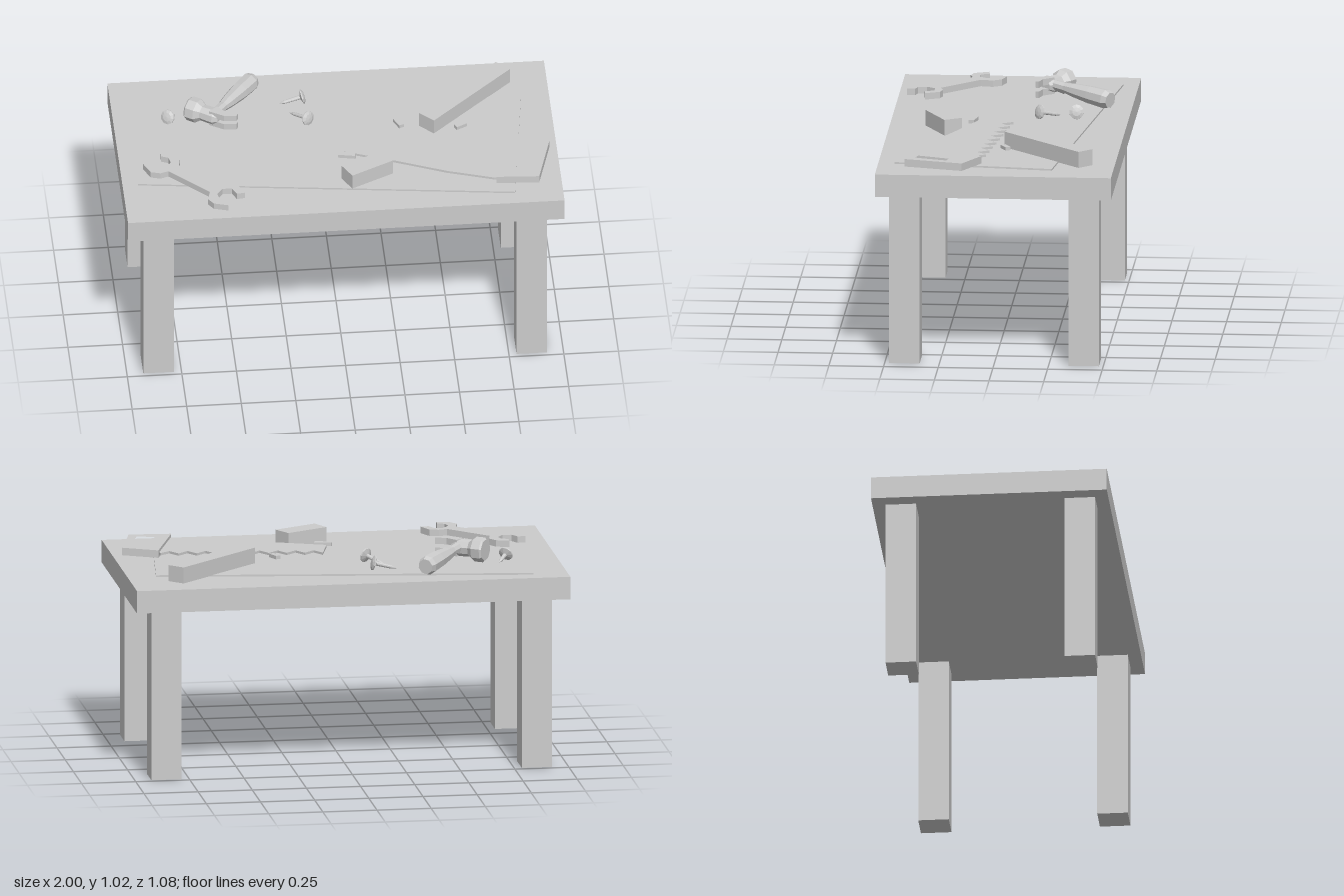
import * as THREE from 'three';

const material = new THREE.MeshStandardMaterial({ color: 0xcccccc, flatShading: true });

function add(parent, name, geometry) {
  const mesh = new THREE.Mesh(geometry, material);
  mesh.name = name;
  parent.add(mesh);
  return mesh;
}

function box(parent, name, size, pos, turn = 0) {
  const mesh = add(parent, name, new THREE.BoxGeometry(...size));
  mesh.position.set(...pos);
  mesh.rotation.y = turn;
  return mesh;
}

// Flat part: plan outline in [x, z], raised from y0 to y1
function slab(parent, name, outline, y0, y1, hole) {
  const toPlane = (pts) => pts.map(([x, z]) => new THREE.Vector2(x, -z));
  const shape = new THREE.Shape(toPlane(outline));
  if (hole) shape.holes.push(new THREE.Path(toPlane(hole)));
  const geo = new THREE.ExtrudeGeometry(shape, { depth: y1 - y0, bevelEnabled: false });
  geo.rotateX(-Math.PI / 2);
  geo.translate(0, y0, 0);
  return add(parent, name, geo);
}

// Turned part: profile of [radius, distance] laid along the line from a to b
function turned(parent, name, profile, sides, a, b) {
  const geo = new THREE.LatheGeometry(profile.map(([r, d]) => new THREE.Vector2(r, d)), sides);
  geo.rotateY(Math.PI / sides);
  const mesh = add(parent, name, geo);
  const from = new THREE.Vector3(...a);
  const dir = new THREE.Vector3(...b).sub(from).normalize();
  mesh.position.copy(from);
  mesh.quaternion.setFromUnitVectors(new THREE.Vector3(0, 1, 0), dir);
  return mesh;
}

function group(parent, name) {
  const g = new THREE.Group();
  g.name = name;
  parent.add(g);
  return g;
}

function buildTable(root) {
  const table = group(root, 'table');
  box(table, 'tableTop', [2, 0.105, 1.08], [0, 0.8475, 0]);
  for (const x of [-1, 1]) for (const z of [-1, 1])
    box(table, 'leg', [0.14, 0.797, 0.14], [x * 0.855, 0.3985, z * 0.41]);
  slab(table, 'mat', [[-0.84, -0.47], [0.87, -0.26], [0.78, 0.465], [-0.93, 0.255]], 0.899, 0.908);
}

function buildSaw(root) {
  const saw = group(root, 'saw');
  // Toothed edge: tip, then valley, repeated towards the handle
  const teeth = [];
  const count = 9;
  for (let i = 0; i < count; i++) {
    const x = 0.065 + (i * 0.735) / count;
    const z = -0.03 + (i * 0.09) / count;
    teeth.push([x, z], [x + 0.035, z + 0.055]);
  }
  const back = [[0.8, 0.07], [0.82, 0.2], [0.75, 0.39], [0.69, 0.385], [0.48, 0.315],
    [0.25, 0.215], [0.15, 0.175], [0.025, 0.125]];
  slab(saw, 'blade', [...teeth, ...back], 0.925, 0.936);
  slab(saw, 'sawHandle', [[0.81, 0.065], [0.965, 0.145], [0.895, 0.412], [0.7, 0.4]], 0.915, 0.95,
    [[0.83, 0.2], [0.91, 0.22], [0.865, 0.365], [0.785, 0.345]]);
}

function buildWrench(root) {
  slab(root, 'wrench', [
    [-0.81, 0.06], [-0.75, 0.08], [-0.725, 0.12], [-0.735, 0.175],
    [-0.565, 0.345], [-0.525, 0.333], [-0.483, 0.345], [-0.452, 0.41],
    [-0.49, 0.415], [-0.51, 0.372], [-0.553, 0.372], [-0.58, 0.41], [-0.57, 0.452],
    [-0.537, 0.462], [-0.537, 0.5], [-0.602, 0.48], [-0.625, 0.445], [-0.612, 0.39],
    [-0.787, 0.215], [-0.825, 0.228], [-0.868, 0.215], [-0.898, 0.147],
    [-0.86, 0.143], [-0.838, 0.182], [-0.795, 0.182], [-0.77, 0.147], [-0.778, 0.112],
    [-0.81, 0.098],
  ], 0.912, 0.942);
}

function buildHammer(root) {
  const hammer = group(root, 'hammer');
  // Octagonal striking face tapering to the neck
  turned(hammer, 'hammerHead',
    [[0, 0], [0.05, 0], [0.057, 0.008], [0.057, 0.05], [0.038, 0.075], [0.04, 0.14], [0.025, 0.165], [0, 0.165]],
    8, [-0.655, 0.968, -0.23], [-0.505, 0.968, -0.126]);
  // Two claw prongs, one above the other
  const prong = [[-0.57, -0.14], [-0.53, -0.175], [-0.49, -0.125], [-0.44, -0.11], [-0.448, -0.094], [-0.505, -0.1]];
  slab(hammer, 'upperClaw', prong, 0.977, 1.007);
  slab(hammer, 'lowerClaw', prong, 0.93, 0.96);
  // Grip thickening towards its end
  turned(hammer, 'hammerHandle',
    [[0, 0], [0.024, 0], [0.024, 0.08], [0.032, 0.13], [0.042, 0.23], [0.045, 0.32], [0.036, 0.345], [0, 0.345]],
    8, [-0.545, 0.973, -0.163], [-0.345, 0.948, -0.445]);
}

function buildNails(root) {
  const nails = [
    [[-0.755, 0.943, -0.2], [-0.715, 0.913, -0.255]],
    [[-0.125, 0.943, -0.305], [-0.24, 0.911, -0.298]],
    [[-0.115, 0.943, -0.135], [-0.195, 0.911, -0.23]],
  ];
  for (const [head, tip] of nails) {
    const length = new THREE.Vector3(...head).distanceTo(new THREE.Vector3(...tip));
    turned(root, 'nail',
      [[0, -0.008], [0.02, -0.006], [0.034, 0], [0.034, 0.006], [0.01, 0.014], [0.008, length * 0.75], [0, length]],
      10, head, tip);
  }
}

function buildWood(root) {
  slab(root, 'plank', [[0.77, -0.44], [0.83, -0.38], [0.45, -0.015], [0.387, -0.08]], 0.906, 0.981);
  slab(root, 'woodBlock', [[0, 0.295], [0.19, 0.197], [0.237, 0.275], [0.042, 0.375]], 0.906, 0.981);
  // Loose offcuts: x, z, length, turn
  for (const [x, z, length, turn] of [
    [0.293, -0.072, 0.058, -1.15], [0.573, -0.029, 0.055, 0.5], [0.036, 0.155, 0.08, -0.2],
  ]) box(root, 'offcut', [length, 0.016, 0.025], [x, 0.936, z], turn);
}

export function createModel() {
  const root = new THREE.Group();
  root.name = 'workbench';
  [buildTable, buildSaw, buildWrench, buildHammer, buildNails, buildWood].forEach((build) => build(root));
  return root;
}
